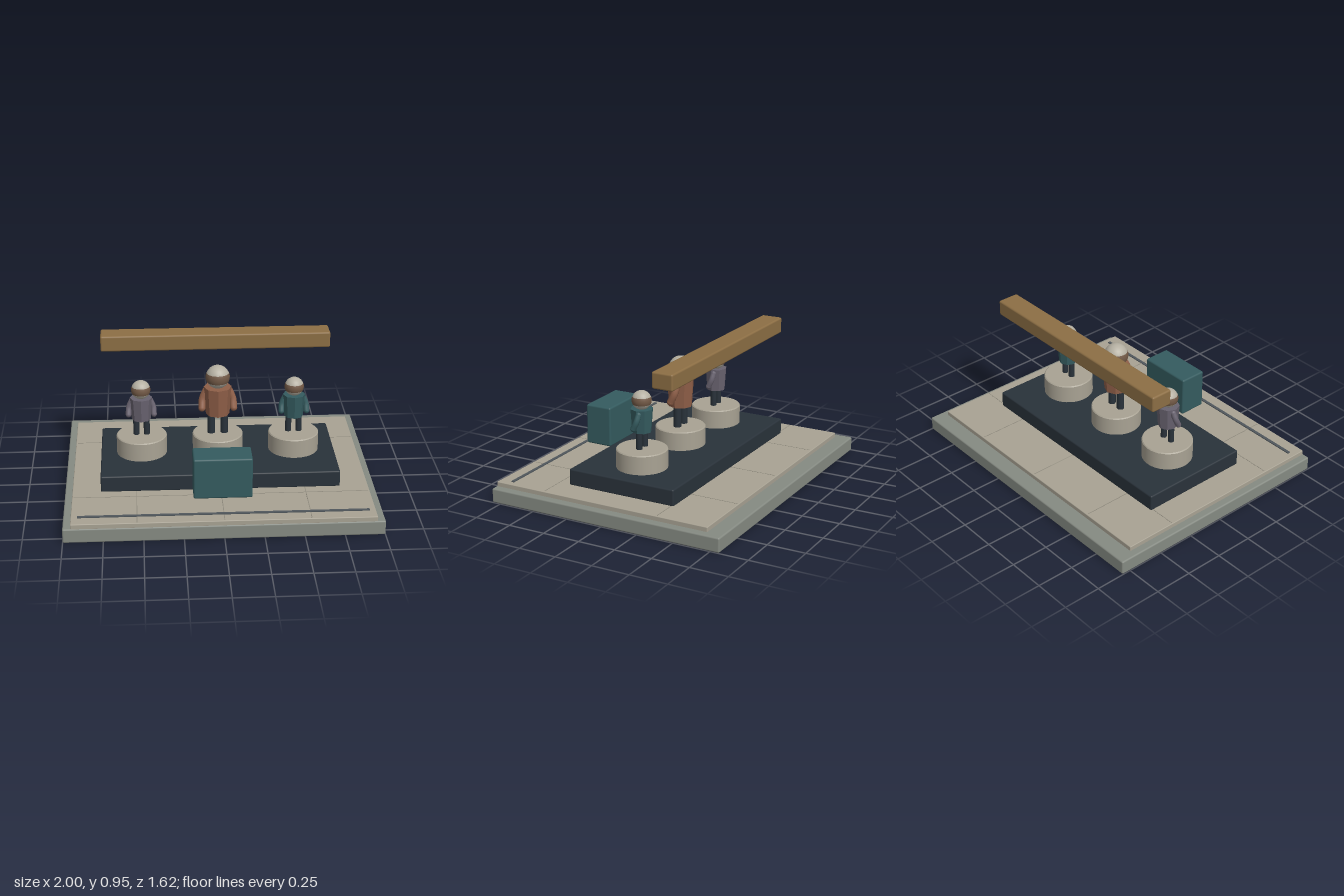
import * as THREE from 'three';
import { RoundedBoxGeometry } from 'three/addons/geometries/RoundedBoxGeometry.js';

const material = (color, extra = {}) => {
  const m = new THREE.MeshStandardMaterial({ color });
  return Object.assign(m, extra);
};
const stone = material(0x858a82);
const paving = material(0xa8a293);
const seamTone = material(0x8f8a7d);
const slate = material(0x50575c);
const dark = material(0x29323a);
const teal = material(0x345b5f);
const wood = material(0x8c6e44);
const skin = material(0xb5b0a2);
const bandTone = material(0x735a47);

function mesh(name, geometry, mat, x = 0, y = 0, z = 0) {
  const m = new THREE.Mesh(geometry, mat);
  m.name = name;
  m.position.set(x, y, z);
  return m;
}

// Softly rounded block given by its extents on each axis
function block(name, mat, [x0, x1], [y0, y1], [z0, z1], r) {
  const g = new RoundedBoxGeometry(x1 - x0, y1 - y0, z1 - z0, 3, r);
  return mesh(name, g, mat, (x0 + x1) / 2, (y0 + y1) / 2, (z0 + z1) / 2);
}

// Standing figure with its feet at the local origin
function figure(name, color) {
  const g = new THREE.Group();
  g.name = name;
  const cloth = material(color);
  const coat = material(color, { flatShading: true });

  g.add(mesh('torso', new THREE.CylinderGeometry(0.073, 0.062, 0.152, 8), coat, 0, 0.184, 0));
  g.add(mesh('head', new THREE.SphereGeometry(0.062, 24, 16), skin, 0, 0.315, 0));
  // Band around the head, a zone of a slightly larger sphere
  const band = new THREE.SphereGeometry(0.0632, 24, 6, 0, Math.PI * 2, 1.19, 0.78);
  g.add(mesh('headBand', band, bandTone, 0, 0.315, 0));

  for (const s of [-1, 1]) {
    const side = s > 0 ? 'left' : 'right';
    g.add(mesh(side + 'Leg', new THREE.CylinderGeometry(0.02, 0.02, 0.12, 12), dark, s * 0.034, 0.06, 0));

    // Arm hanging from the shoulder, hand slightly forward
    const path = new THREE.CatmullRomCurve3([
      new THREE.Vector3(s * 0.06, 0.235, -0.012),
      new THREE.Vector3(s * 0.079, 0.19, -0.006),
      new THREE.Vector3(s * 0.083, 0.145, 0.014),
    ]);
    const arm = new THREE.Group();
    arm.name = side + 'Arm';
    arm.add(mesh('sleeve', new THREE.TubeGeometry(path, 10, 0.019, 10), cloth));
    for (const t of [0, 1]) {
      const p = path.getPoint(t);
      arm.add(mesh(t ? 'hand' : 'shoulder', new THREE.SphereGeometry(0.019, 12, 8), cloth, p.x, p.y, p.z));
    }
    g.add(arm);
  }
  return g;
}

// Round pedestal with a small bevel
function pedestal(x) {
  const h = 0.125, r = 0.165, b = 0.006;
  const profile = [[0, 0], [r, 0], [r, 0], [r, h - b], [r, h - b], [r - b, h], [r - b, h], [0, h]];
  const g = new THREE.LatheGeometry(profile.map(([a, c]) => new THREE.Vector2(a, c)), 40);
  return mesh('pedestal', g, paving, x, 0.23, 0);
}

export function createModel() {
  const model = new THREE.Group();
  model.name = 'displayStage';

  // Ground layers
  model.add(block('base', stone, [-1, 1], [0, 0.095], [-0.81, 0.81], 0.01));
  model.add(block('floor', paving, [-0.95, 0.95], [0.09, 0.125], [-0.705, 0.805], 0.005));
  model.add(block('plinth', dark, [-0.768, 0.768], [0.12, 0.23], [-0.375, 0.375], 0.01));

  // Paving seams and the front edge strip
  for (const x of [-0.54, 0, 0.54])
    model.add(mesh('floorSeam', new THREE.BoxGeometry(0.005, 0.004, 1.49), seamTone, x, 0.124, 0.05));
  for (const z of [-0.36, 0.45])
    model.add(mesh('floorSeam', new THREE.BoxGeometry(1.88, 0.004, 0.005), seamTone, 0, 0.124, z));
  model.add(mesh('frontStrip', new THREE.BoxGeometry(1.82, 0.008, 0.02), slate, 0, 0.127, 0.712));

  // Floating front block and overhead beam
  model.add(block('frontBlock', teal, [-0.185, 0.185], [0.18, 0.45], [0.43, 0.615], 0.012));
  model.add(block('overheadBeam', wood, [-0.758, 0.758], [0.848, 0.955], [-0.365, -0.22], 0.012));

  // Figures on their pedestals, the middle one larger
  const cast = [
    ['rightFigure', 0x68626f, -0.5, 1],
    ['middleFigure', 0x8f5f48, 0, 1.25],
    ['leftFigure', 0x345b5f, 0.5, 1],
  ];
  for (const [name, color, x, size] of cast) {
    model.add(pedestal(x));
    const f = figure(name, color);
    f.position.set(x, 0.355, 0);
    f.scale.setScalar(size);
    model.add(f);
  }
  return model;
}
